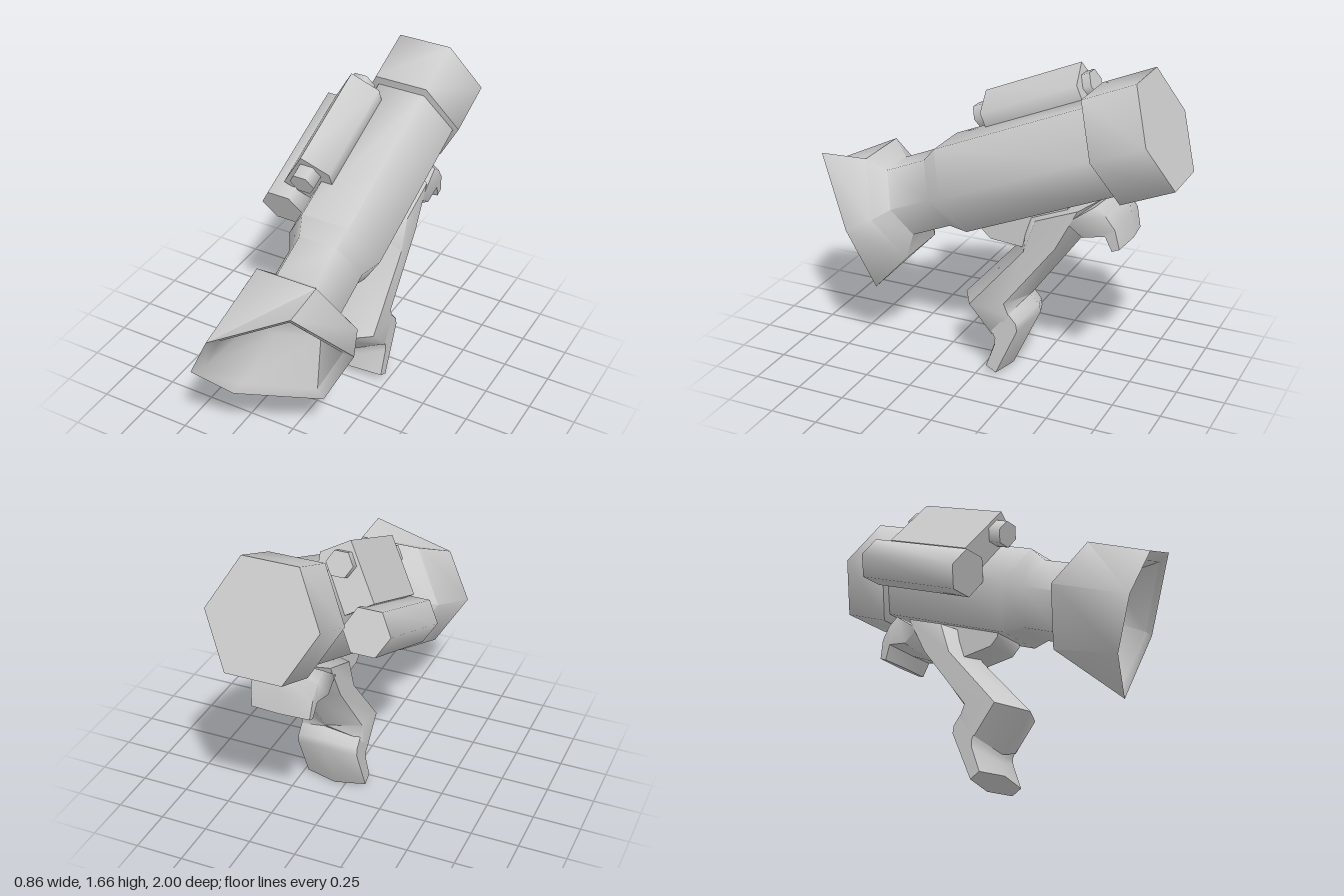
import * as THREE from 'three';
import { toCreasedNormals } from 'three/addons/utils/BufferGeometryUtils.js';

const material = new THREE.MeshStandardMaterial({ color: 0xcccccc });
const CX = 0.058; // middle of the barrel in x

// Point at distance s along the tilted barrel axis, at x and height v above the axis
const onAxis = (s, x, v) =>
  new THREE.Vector3(x, 1.415 - 0.39 * s + 0.92 * v, -0.895 + 0.92 * s + 0.39 * v);

// Six-sided ring around the axis
function hexRing(s, r, h, x = CX, v = 0) {
  return [[1, 0], [0.5, 1], [-0.5, 1], [-1, 0], [-0.5, -1], [0.5, -1]]
    .map(([a, b]) => onAxis(s, x + a * r, v + b * h));
}

const centre = (ring) =>
  ring.reduce((sum, p) => sum.add(p), new THREE.Vector3()).divideScalar(ring.length);

// Scale a ring about its centre and push it back along the barrel axis
function inset(ring, scale, depth) {
  const c = centre(ring);
  const back = new THREE.Vector3(0, 0.39, -0.92).multiplyScalar(depth);
  return ring.map((p) => p.clone().sub(c).multiplyScalar(scale).add(c).add(back));
}

// Skin a list of rings and close both ends
function loft(name, rings, crease = 1.1) {
  const tris = [];
  const n = rings[0].length;
  for (let i = 0; i + 1 < rings.length; i++) {
    for (let k = 0; k < n; k++) {
      const a = rings[i][k], b = rings[i][(k + 1) % n];
      const c = rings[i + 1][(k + 1) % n], d = rings[i + 1][k];
      tris.push([a, b, c], [a, c, d]);
    }
  }
  const first = rings[0], last = rings[rings.length - 1];
  const c0 = centre(first), c1 = centre(last);
  for (let k = 0; k < n; k++) {
    tris.push([c0, first[(k + 1) % n], first[k]], [c1, last[k], last[(k + 1) % n]]);
  }
  // turn the faces outward
  const cross = new THREE.Vector3();
  const volume = tris.reduce((sum, [a, b, c]) => sum + a.dot(cross.crossVectors(b, c)), 0);
  if (volume < 0) tris.forEach((t) => t.reverse());
  const geometry = new THREE.BufferGeometry().setFromPoints(tris.flat());
  const mesh = new THREE.Mesh(toCreasedNormals(geometry, crease), material);
  mesh.name = name;
  return mesh;
}

// Six-sided ring for the grip: front and back ridges [z, y], with flat sides
function gripRing([fz, fy], [bz, by], half = 0.165) {
  const at = (dx, t) =>
    new THREE.Vector3(CX + dx, fy + (by - fy) * t, fz + (bz - fz) * t);
  return [at(0, 0), at(half, 0.25), at(half, 0.75), at(0, 1), at(-half, 0.75), at(-half, 0.25)];
}

export function createModel() {
  const model = new THREE.Group();
  model.name = 'launcher';

  // Barrel: rear block, tube, neck and flare, ending in a slanted hollow mouth
  const rim = [
    [0.425, 0.76, 0.63], [0.23, 1.07, 0.87], [-0.15, 0.88, 1.0],
    [-0.28, 0.62, 0.96], [-0.15, 0.415, 0.8], [0.23, 0.37, 0.58],
  ].map((p) => new THREE.Vector3(...p));
  model.add(loft('barrel', [
    hexRing(0, 0.283, 0.267),
    hexRing(0.29, 0.283, 0.267),
    hexRing(0.3, 0.255, 0.225),
    hexRing(1.15, 0.255, 0.225),
    hexRing(1.245, 0.205, 0.18),
    hexRing(1.475, 0.205, 0.18),
    hexRing(1.527, 0.32, 0.278),
    rim,
    inset(rim, 0.84, 0.03),
    inset(rim, 0.5, 0.27),
  ]));

  // Sight box leaning on the upper right of the barrel
  const boxSection = [[-0.01, 0.3], [-0.15, 0.38], [-0.31, 0.115], [-0.17, 0.03], [-0.01, 0.2]];
  model.add(loft('sightBox', [0.39, 0.945].map((s) => boxSection.map(([x, v]) => onAxis(s, x, v)))));

  // Sight tube poking out of both ends of the box
  model.add(loft('sightTube', [0.345, 1.02].map((s) => hexRing(s, 0.068, 0.059, -0.13, 0.268))));

  // Side canister
  model.add(loft('sideCanister', [0.345, 1.02].map((s) => hexRing(s, 0.12, 0.106, -0.31, -0.013))));

  // Grip with its heel
  model.add(loft('grip', [
    gripRing([-0.2, 0.86], [-0.64, 1.04]),
    gripRing([-0.17, 0.71], [-0.5, 0.8]),
    gripRing([0.14, 0.36], [-0.24, 0.44]),
    gripRing([-0.035, 0.175], [-0.22, 0.415]),
  ]));
  model.add(loft('gripHeel', [
    gripRing([-0.03, 0.2], [-0.22, 0.42]),
    gripRing([-0.04, 0.165], [-0.27, 0.37]),
    gripRing([-0.035, 0.13], [-0.28, 0.33]),
    gripRing([-0.02, 0.06], [-0.13, 0.003]),
  ]));

  // Rear hook behind the grip
  model.add(loft('rearHook', [
    gripRing([-0.4, 0.87], [-0.69, 1.09]),
    gripRing([-0.5, 0.8], [-0.73, 1.06]),
    gripRing([-0.645, 0.87], [-0.745, 0.95], 0.16),
    gripRing([-0.685, 0.805], [-0.76, 0.838], 0.15),
  ]));

  // Mount plate under the barrel, ahead of the grip
  const plate = [[0.01, 0.82], [0.005, 0.77], [-0.04, 0.73], [-0.25, 0.715], [-0.45, 0.85], [-0.45, 1.0]];
  model.add(loft('mountPlate', [-0.09, 0.09].map((dx) =>
    plate.map(([z, y]) => new THREE.Vector3(CX + dx, y, z)))));

  return model;
}
